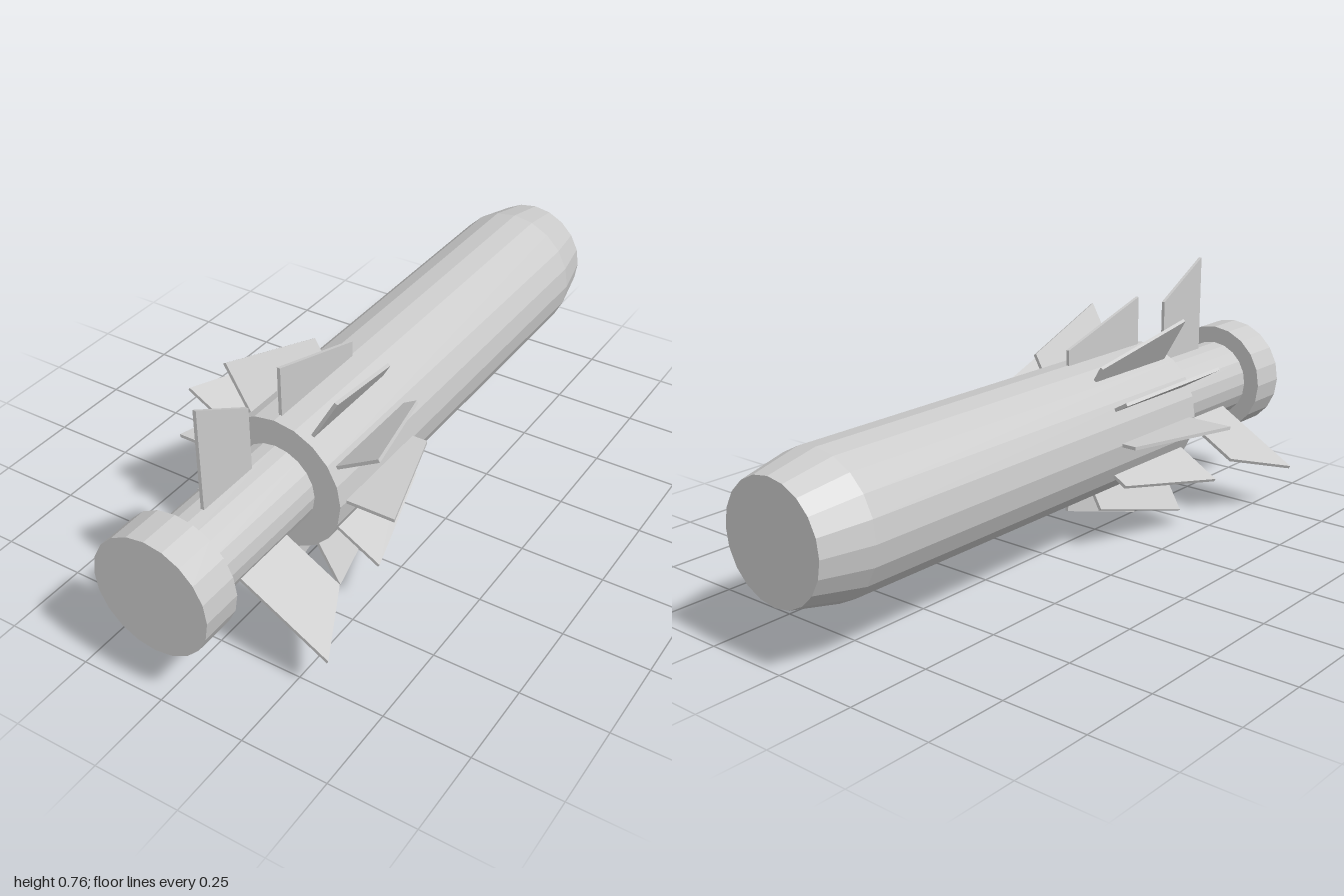
import * as THREE from 'three';

const SIDES = 20;
const AXIS_Y = 0.345;
const material = new THREE.MeshStandardMaterial({ color: 0xcccccc, flatShading: true });

// Solid of revolution along z from [radius, z] pairs listed back to front
function turned(name, profile) {
  const points = profile.map(([r, z]) => new THREE.Vector2(r, z));
  const mesh = new THREE.Mesh(new THREE.LatheGeometry(points, SIDES).rotateX(Math.PI / 2), material);
  mesh.name = name;
  return mesh;
}

// Ring of thin plates, each outlined by [z, radius] corners, the first pointing up
function finRing(name, count, outline, thickness = 0.01) {
  const shape = new THREE.Shape(outline.map(([z, r]) => new THREE.Vector2(z, r)));
  const geometry = new THREE.ExtrudeGeometry(shape, { depth: thickness, bevelEnabled: false })
    .translate(0, 0, -thickness / 2)
    .rotateY(-Math.PI / 2);
  const ring = new THREE.Group();
  ring.name = name + 's';
  for (let i = 0; i < count; i++) {
    const fin = new THREE.Mesh(geometry, material);
    fin.name = name;
    fin.rotation.z = (i / count) * Math.PI * 2;
    ring.add(fin);
  }
  return ring;
}

export function createModel() {
  const model = new THREE.Group();
  model.name = 'finnedProjectile';

  // Main body with tapered far end, narrow neck and end cap
  model.add(
    turned('body', [[0, -1], [0.167, -1], [0.2, -0.85], [0.2, 0.476], [0, 0.476]]),
    turned('neck', [[0.12, 0.476], [0.12, 0.882]]),
    turned('endCap', [[0, 0.882], [0.172, 0.882], [0.172, 1], [0, 1]])
  );

  // Twelve short fins around the body and three long ones on the neck
  model.add(
    finRing('bodyFin', 12, [[0.113, 0.19], [0.447, 0.19], [0.447, 0.345], [0.113, 0.245]]),
    finRing('neckFin', 3, [[0.584, 0.11], [0.782, 0.11], [0.782, 0.415], [0.584, 0.305]])
  );

  model.children.forEach((part) => { part.position.y = AXIS_Y; });
  return model;
}
